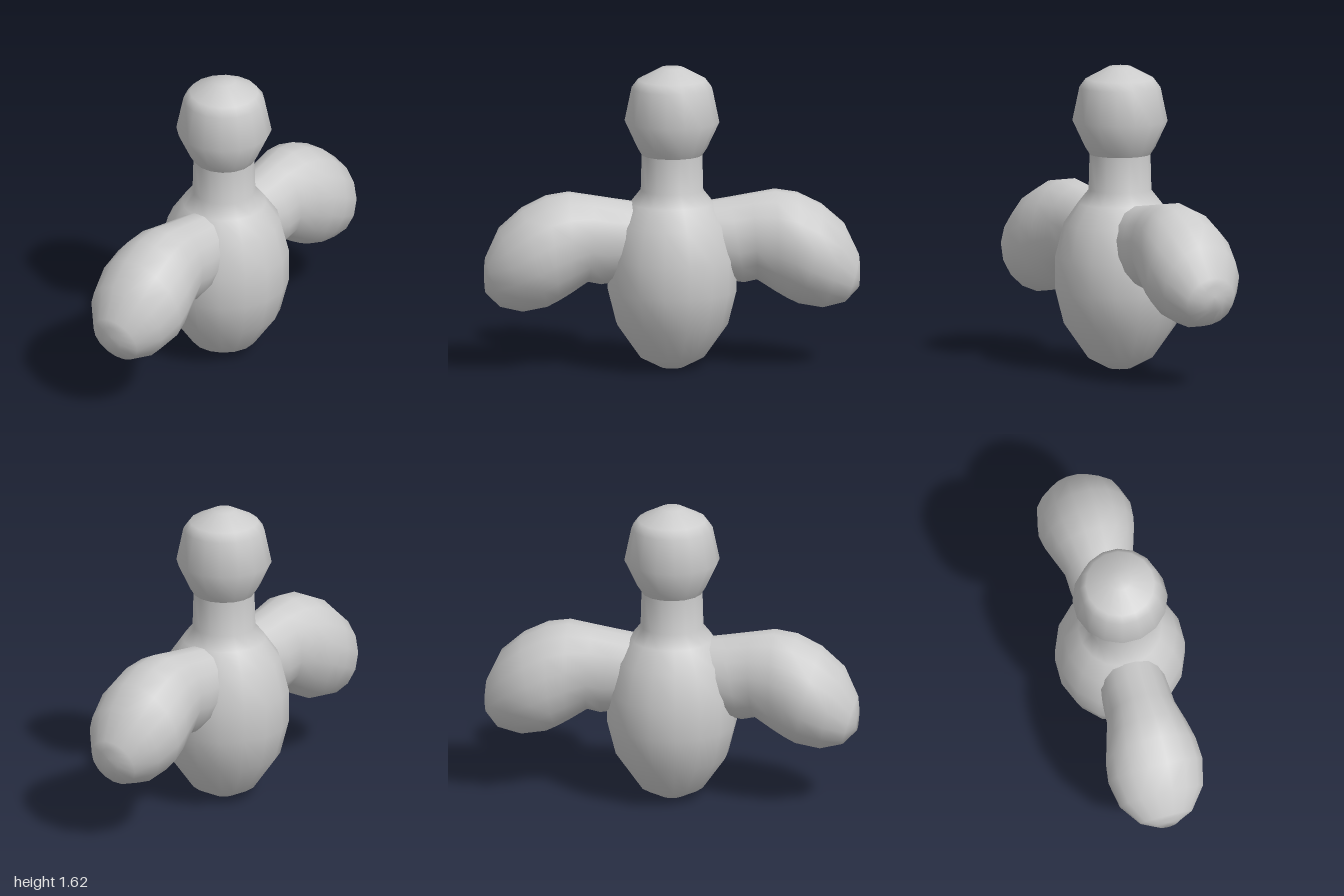
import * as THREE from 'three';

const material = new THREE.MeshStandardMaterial({ color: 0xcccccc });
const SIDES = 16;

// Skins oval rings given as [topZ, topY, bottomZ, bottomY, halfWidth]
function skinRings(rings) {
  const positions = [];
  const indices = [];
  rings.forEach(([tz, ty, bz, by, w], r) => {
    for (let i = 0; i < SIDES; i++) {
      const a = ((i + 0.5) / SIDES) * Math.PI * 2;
      const c = Math.cos(a) * 1.02;
      positions.push(
        w * Math.sin(a) * 1.02,
        (ty + by) / 2 + (c * (ty - by)) / 2,
        (tz + bz) / 2 + (c * (tz - bz)) / 2
      );
      if (r === rings.length - 1) continue;
      const p = r * SIDES + i;
      const q = r * SIDES + ((i + 1) % SIDES);
      indices.push(p, p + SIDES, q, q, p + SIDES, q + SIDES);
    }
  });
  const geometry = new THREE.BufferGeometry();
  geometry.setAttribute('position', new THREE.Float32BufferAttribute(positions, 3));
  geometry.setIndex(indices);
  geometry.computeVertexNormals();
  return geometry;
}

// Turned part from [radius, height] pairs
function turned(name, profile) {
  const points = profile.map(([r, y]) => new THREE.Vector2(r * 1.015, y));
  const mesh = new THREE.Mesh(new THREE.LatheGeometry(points, SIDES, Math.PI / SIDES), material);
  mesh.name = name;
  return mesh;
}

export function createModel() {
  const model = new THREE.Group();
  model.name = 'figure';

  // Egg-shaped body running up into the neck
  model.add(turned('body', [
    [0, 0], [0.06, 0.003], [0.17, 0.06], [0.295, 0.24], [0.34, 0.42],
    [0.34, 0.6], [0.295, 0.78], [0.22, 0.89], [0.165, 0.96], [0.16, 1.15],
  ]));

  // Faceted round head
  model.add(turned('head', [
    [0.16, 1.15], [0.185, 1.19], [0.25, 1.33], [0.213, 1.51],
    [0.18, 1.555], [0.06, 1.62], [0, 1.62],
  ]));

  // Drooping bulbous arms, one to the front and one to the back
  const armGeometry = skinRings([
    [0.1, 0.88, 0.15, 0.5, 0.16],
    [0.3, 0.91, 0.38, 0.46, 0.18],
    [0.42, 0.93, 0.45, 0.475, 0.185],
    [0.55, 0.95, 0.55, 0.41, 0.22],
    [0.67, 0.93, 0.61, 0.375, 0.245],
    [0.8, 0.865, 0.67, 0.345, 0.255],
    [0.92, 0.76, 0.8, 0.32, 0.225],
    [0.995, 0.6, 0.92, 0.345, 0.14],
    [1.0, 0.56, 0.995, 0.42, 0.06],
    [1.0, 0.5, 1.0, 0.5, 0],
  ]);
  ['frontArm', 'backArm'].forEach((name, i) => {
    const arm = new THREE.Mesh(armGeometry, material);
    arm.name = name;
    arm.rotation.y = i * Math.PI;
    model.add(arm);
  });

  return model;
}
